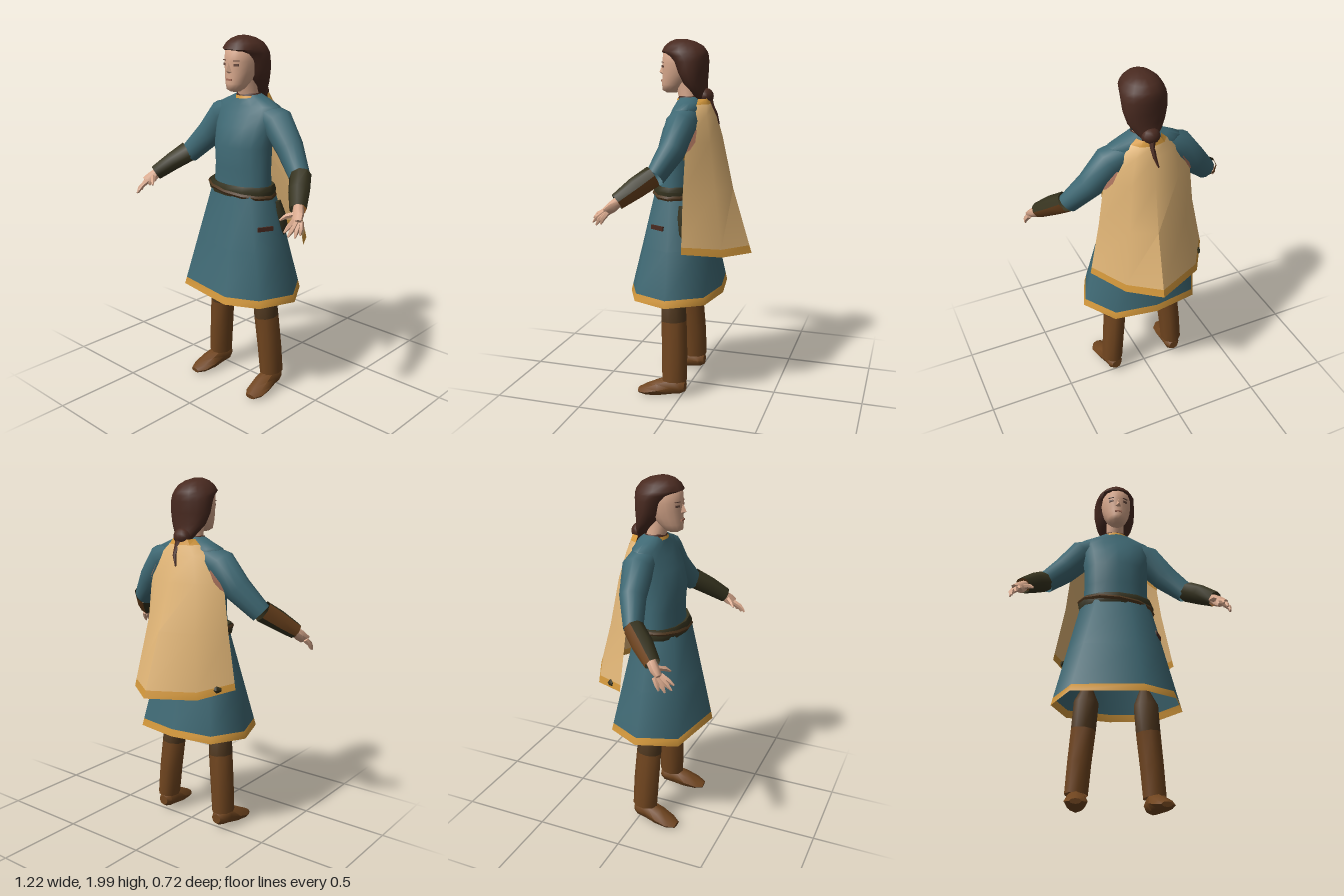
import * as THREE from 'three';
import { toCreasedNormals } from 'three/addons/utils/BufferGeometryUtils.js';
import { ConvexGeometry } from 'three/addons/geometries/ConvexGeometry.js';

const V = (x, y, z) => new THREE.Vector3(x, y, z);

const material = (name, color, double) => {
  const m = new THREE.MeshStandardMaterial({ color });
  m.name = name;
  if (double) m.side = THREE.DoubleSide;
  return m;
};

// Skin a surface over rings of points; the rings run counter-clockwise seen from the far end
function loft(rings, closed = true, crease = 0.9) {
  const n = rings[0].length, pos = [], index = [];
  rings.forEach(r => r.forEach(p => pos.push(p.x, p.y, p.z)));
  for (let i = 0; i < rings.length - 1; i++) {
    for (let j = 0; j < (closed ? n : n - 1); j++) {
      const a = i * n + j, b = i * n + (j + 1) % n;
      index.push(a, b, b + n, a, b + n, a + n);
    }
  }
  const g = new THREE.BufferGeometry();
  g.setAttribute('position', new THREE.Float32BufferAttribute(pos, 3));
  g.setIndex(index);
  return toCreasedNormals(g, crease);
}

// Close both ends of a stack of rings
function capped(rings) {
  const flat = r => {
    const c = r.reduce((s, p) => s.add(p), V(0, 0, 0)).divideScalar(r.length);
    return r.map(() => c);
  };
  return [flat(rings[0]), ...rings, flat(rings[rings.length - 1])];
}

// Horizontal oval given by half width, back z and front z; tilt raises the +x side
function oval(y, hx, back, front, n = 16, tilt = 0) {
  return Array.from({ length: n }, (_, j) => {
    const a = j / n * Math.PI * 2, x = hx * Math.sin(a);
    return V(x, y + tilt * x, (front + back) / 2 + (front - back) / 2 * Math.cos(a));
  });
}

// Rings along a path; each radius is a number or a [towards ref, sideways] pair
function limb(points, radii, n = 8, ref = V(0, 0, 1)) {
  return points.map((p, i) => {
    const t = points[Math.min(i + 1, points.length - 1)].clone().sub(points[Math.max(i - 1, 0)]).normalize();
    const u = ref.clone().addScaledVector(t, -ref.dot(t)).normalize();
    const v = t.clone().cross(u);
    const [ru, rv] = [radii[i]].flat().concat(radii[i]);
    return Array.from({ length: n }, (_, j) => {
      const a = j / n * Math.PI * 2;
      return p.clone().addScaledVector(u, ru * Math.cos(a)).addScaledVector(v, rv * Math.sin(a));
    });
  });
}

const mix = (a, b, t) => a.map((p, i) => p.clone().lerp(b[i], t));
const row = (y, list) => list.map(([x, z, dy = 0]) => V(x, y + dy, z));

export function createModel() {
  const model = new THREE.Group();
  model.name = 'cloakedFigure';
  const teal = material('teal cloth', 0x3f6974, true);
  const gold = material('gold trim', 0xd4983b, true);
  const tan = material('tan cloak', 0xe3b778, true);
  const skin = material('skin', 0xd8a88c);
  const hairMat = material('auburn hair', 0x492a20);
  const olive = material('dark olive leather', 0x36331f, true);
  const brown = material('brown leather', 0x70451f, true);
  const trouser = material('dark trousers', 0x50381f, true);
  const dark = material('eye', 0x6b4c40);
  const rosy = material('rosy brown', 0xa8705a, true);
  const add = (name, geo, mat) => {
    const m = new THREE.Mesh(geo, mat);
    m.name = name;
    model.add(m);
    return m;
  };

  // Tunic body
  add('tunicBody', loft([
    [1.15, .19, -.055, .178], [1.3, .182, -.055, .17], [1.42, .185, -.065, .178], [1.52, .195, -.08, .148],
    [1.59, .207, -.088, .108], [1.635, .205, -.086, .085], [1.665, .135, -.072, .072], [1.692, .07, -.05, .062],
  ].map(r => oval(...r)), true, 1.2), teal);
  add('collar', loft([oval(1.682, .077, -.055, .073), oval(1.697, .067, -.048, .064)]), hairMat);
  add('collarTrim', loft([oval(1.67, .078, -.058, .08, 16, .08), oval(1.684, .074, -.054, .074)]), gold);

  // Flared skirt with a hem band
  const waist = row(1.17, [[.06, .19], [.15, .165], [.208, .06], [.14, -.05], [0, -.07], [-.14, -.05], [-.205, .06], [-.13, .175]]);
  const hem = row(.585, [[.11, .327], [.29, .24], [.37, .04], [.25, -.15], [0, -.19], [-.25, -.15], [-.35, .04], [-.27, .265]]);
  const hemTop = mix(hem, waist, .07);
  add('skirt', loft([hemTop, mix(hem, waist, .5), waist], true, 1.5), teal);
  add('skirtHem', loft([hem, hemTop], true, 1.5), gold);

  // Belt, closed against the body, and a slanted strap around it
  add('belt', loft([oval(1.155, .212, -.07, .197, 12), oval(1.19, .218, -.074, .205, 12), oval(1.217, .208, -.066, .192, 12),
    oval(1.2, .15, -.04, .15, 12)]), olive);
  add('strap', loft([oval(1.165, .216, -.074, .203, 12, -.1), oval(1.178, .222, -.078, .211, 12, -.1),
    oval(1.19, .216, -.073, .204, 12, -.1)]), trouser);

  // Items hanging from the belt
  add('leftPouch', loft(capped(limb([V(.218, .93, -.035), V(.225, .97, -.03), V(.212, 1.05, -.02), V(.2, 1.12, -.01)],
    [[.022, .012], [.034, .02], [.034, .02], [.02, .012]], 6))), olive);
  add('scabbardTip', loft(capped(limb([V(-.292, .9, -.115), V(-.275, .9, -.132), V(-.24, .9, -.145)],
    [.01, .022, .012], 6))), olive);
  const tool = add('beltTool', new THREE.BoxGeometry(.09, .024, .02), hairMat);
  tool.position.set(.222, .995, .122);
  tool.rotation.y = 1.11;

  // Cloak falling from the nape, open at the front
  const cape = [
    row(1.685, [[.07, -.06], [.05, -.1], [0, -.115], [-.05, -.1], [-.07, -.06]]),
    row(1.6, [[.16, -.06], [.1, -.115], [.01, -.145], [-.1, -.115], [-.16, -.06]]),
    row(1.46, [[.25, -.045], [.135, -.145], [.015, -.18], [-.135, -.145], [-.25, -.045]]),
    row(1.2, [[.285, -.04], [.17, -.185], [.03, -.25], [-.165, -.185], [-.28, -.04]]),
    row(.845, [[.35, -.05, .045], [.22, -.24, .01], [.045, -.363], [-.22, -.24, .01], [-.34, -.05, .045]]),
  ];
  const capeHem = mix(cape[4], cape[3], .12), capeTop = mix(cape[0], cape[1], .35);
  add('cloak', loft([capeHem, ...[cape[3], cape[2], cape[1]], capeTop], false, .7), tan);
  add('cloakHem', loft([cape[4], capeHem], false, .7), gold);
  add('cloakCollar', loft([capeTop, cape[0]], false, .7), gold);

  // Worn facings where the cloak meets the arms: gold inside on the left, rosy outside
  add('cloakFacing', loft([
    [V(.264, 1.37, -.037), V(.215, 1.41, -.045)], [V(.25, 1.46, -.038), V(.18, 1.46, -.05)], [V(.22, 1.51, -.042), V(.17, 1.51, -.06)],
  ], false), gold);
  for (const s of [1, -1]) {
    add('cloakPatch', loft([
      [V(s * .258, 1.42, -.052), V(s * .245, 1.43, -.068)], [V(s * .25, 1.465, -.053), V(s * .215, 1.47, -.088)],
      [V(s * .212, 1.53, -.06), V(s * .185, 1.53, -.087)],
    ], false), rosy);
  }

  // Neck and head
  add('neck', loft([oval(1.64, .062, -.045, .055), oval(1.71, .052, -.04, .075), oval(1.77, .052, -.04, .09)]), skin);
  add('head', loft(capped([
    [1.712, .025, .085, .14], [1.725, .044, .06, .164], [1.755, .06, .02, .166], [1.79, .073, -.01, .164], [1.83, .083, -.035, .162],
    [1.87, .088, -.05, .163], [1.93, .088, -.06, .157], [1.97, .06, -.03, .12],
  ].map(r => oval(...r))), true, 1.3), skin);
  add('nose', new ConvexGeometry([V(0, 1.87, .16), V(.018, 1.816, .156), V(-.018, 1.816, .156), V(0, 1.822, .184), V(0, 1.808, .163)]), skin);
  add('mouth', new THREE.BoxGeometry(.042, .01, .008), rosy).position.set(0, 1.777, .1625);
  for (const s of [1, -1]) {
    for (const [name, y, w, h] of [['eye', 1.854, .026, .011], ['brow', 1.876, .034, .004]]) {
      const plate = add(name, new THREE.BoxGeometry(w, h, .008), dark);
      plate.position.set(s * .041, y, .1495);
      plate.rotation.y = s * .5;
    }
  }

  // Hair cap, knot and tail
  add('hair', loft(capped([
    [1.675, .04, -.1, -.03], [1.72, .078, -.09, -.005], [1.76, .104, -.087, .035], [1.82, .12, -.092, .07], [1.88, .123, -.096, .095],
    [1.91, .12, -.095, .125], [1.932, .113, -.09, .164], [1.962, .092, -.068, .148], [1.985, .06, -.025, .12], [1.998, .024, .025, .085],
  ].map(r => oval(...r))), true, 1.3), hairMat);
  const knot = add('hairKnot', new THREE.SphereGeometry(.045, 12, 8), hairMat);
  knot.position.set(0, 1.695, -.082);
  knot.scale.set(1.15, 1, 1);
  add('hairTail', loft(capped(limb([V(0, 1.69, -.09), V(.008, 1.64, -.118), V(.005, 1.6, -.141), V(-.012, 1.545, -.156)],
    [.03, .016, .012, .004], 6))), hairMat);

  for (const s of [1, -1]) {
    const side = s > 0 ? 'left' : 'right';
    const P = (x, y, z) => V(s * x, y, z);

    // Sleeve
    add(side + 'Sleeve', loft(limb([P(.09, 1.607, -.003), P(.195, 1.552, -.003), P(.3, 1.43, .015), P(.415, 1.305, .07)],
      [[.07, .055], [.084, .09], [.07, .078], [.05, .06]], 12), true, 1.4), teal);

    // Two-tone bracer
    const cuff = limb([P(.42, 1.315, .075), P(.475, 1.26, .15), P(.535, 1.195, .23)], [[.054, .064], .056, [.042, .046]], 8);
    const start = s > 0 ? 3 : 2;
    add(side + 'Bracer', loft(cuff.map(r => [...r.slice(start + 2), ...r.slice(0, start + 1)]), false), olive);
    add(side + 'BracerBack', loft(cuff.map(r => r.slice(start, start + 3)), false), brown);

    // Hand with spread fingers
    add(side + 'Palm', loft(capped(limb([P(.525, 1.205, .215), P(.55, 1.17, .25), P(.565, 1.145, .28)],
      [.026, [.026, .036], [.017, .036]], 8))), skin);
    const fingers = [
      [[.54, 1.178, .245], [.502, 1.165, .283], [.48, 1.145, .305]],
      [[.553, 1.152, .283], [.553, 1.13, .325], [.549, 1.108, .352]],
      [[.566, 1.145, .282], [.573, 1.118, .322], [.57, 1.09, .348]],
      [[.576, 1.14, .273], [.589, 1.112, .305], [.592, 1.082, .322]],
      [[.582, 1.148, .262], [.598, 1.118, .282], [.6, 1.09, .292]],
    ];
    for (const f of fingers) add(side + 'Finger', loft(capped(limb(f.map(p => P(...p)), [.015, .013, .005], 5))), skin);

    // Trouser leg ending in a blunt point under the skirt, boot shaft and shoe
    const leg = limb([P(.205, .105, .038), P(.192, .27, .042), P(.174, .45, .05), P(.162, .6, .058), P(.155, .7, .058)],
      [[.073, .062], [.075, .064], [.073, .067], [.068, .068], [.022, .022]], 9);
    add(side + 'BootShaft', loft(leg.slice(0, 3)), brown);
    add(side + 'TrouserLeg', loft(leg.slice(2)), trouser);
    add(side + 'Shoe', loft(capped(limb(
      [P(.2, .07, -.025), P(.2, .07, 0), P(.205, .07, .06), P(.213, .052, .13), P(.222, .035, .2), P(.226, .027, .245)],
      [[.03, .03], [.046, .047], [.056, .05], [.046, .06], [.028, .058], [.014, .03]], 8, V(0, 1, 0)))), brown);
  }
  return model;
}
